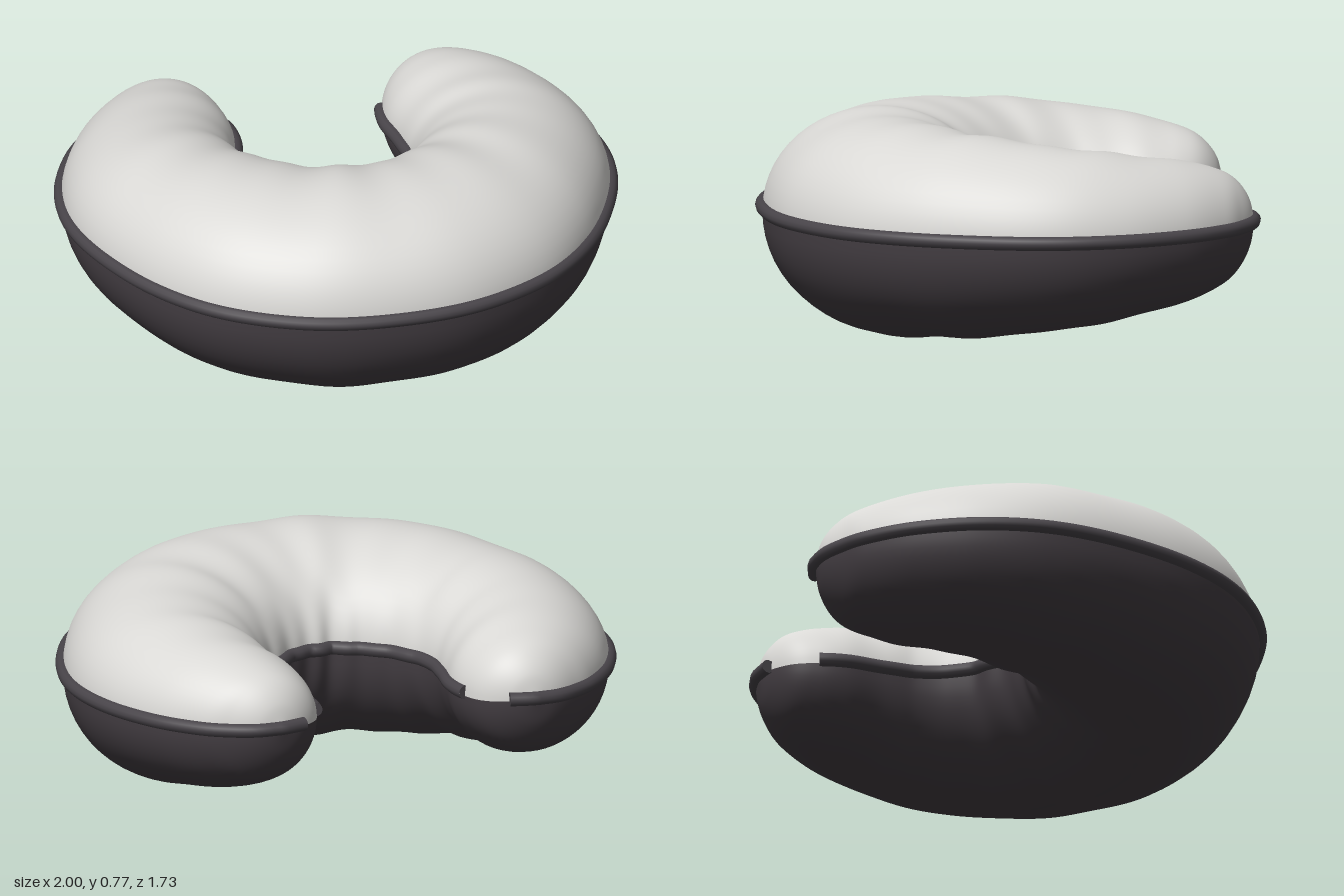
import * as THREE from 'three';

// Half of the U, from the front middle to the tip: outer x, z, inner x, z, half height
const HALF = [
  [0, 0.84, 0, 0.012, 0.38],
  [0.30, 0.80, 0.07, 0.005, 0.378],
  [0.585, 0.655, 0.145, -0.04, 0.371],
  [0.785, 0.435, 0.22, -0.105, 0.358],
  [0.92, 0.155, 0.275, -0.19, 0.339],
  [0.975, -0.10, 0.305, -0.30, 0.317],
  [0.95, -0.345, 0.295, -0.42, 0.29],
  [0.86, -0.565, 0.273, -0.56, 0.258],
  [0.745, -0.715, 0.285, -0.67, 0.22],
  [0.655, -0.785, 0.32, -0.75, 0.175],
  [0.57, -0.828, 0.39, -0.81, 0.10],
  [0.48, -0.842, 0.48, -0.842, 0],
];
const mirrored = HALF.slice(1).reverse().map(([a, b, c, d, h]) => [-a, b, -c, d, h]);
const SECTIONS = [...mirrored, ...HALF];
const curve = (pts) => new THREE.CatmullRomCurve3(pts, false, 'catmullrom', 0.5);
const outerCurve = curve(SECTIONS.map((s) => new THREE.Vector3(s[0], s[4], s[1])));
const innerCurve = curve(SECTIONS.map((s) => new THREE.Vector3(s[2], s[4], s[3])));

// Gathered folds along the inside of the bend, fading out to the tips
const fold = (t) => {
  const fade = Math.max(0, 1 - Math.pow(Math.abs(t - 0.5) / 0.38, 4));
  return fade * (0.6 * Math.sin(t * 110) + 0.4 * Math.sin(t * 67 + 1));
};

function innerPoint(t) {
  const p = innerCurve.getPoint(t);
  p.z += 0.008 * fold(t);
  return p;
}

// One padded half of the cushion: side 1 is the top, side -1 the underside
function shell(side) {
  const nt = 220, nj = 28, pos = [], index = [];
  for (let i = 0; i <= nt; i++) {
    const t = i / nt;
    const o = outerCurve.getPoint(t), n = innerPoint(t);
    const h = Math.max(0, o.y), k = h / 0.38;
    const seam = 0.40 + 0.03 * (1 - k);
    const height = side > 0 ? h * 0.95 : h * (0.95 + 0.1 * k);
    for (let j = 0; j <= nj; j++) {
      const a = (j / nj) * Math.PI;
      const u = (1 - Math.cos(a)) / 2;
      const crease = 1 + 0.045 * fold(t) * Math.pow(u, 1.8) + 0.006 * Math.sin(t * 70) * k;
      pos.push(
        o.x + (n.x - o.x) * u,
        Math.max(0, seam + side * height * Math.sin(a) * crease),
        o.z + (n.z - o.z) * u,
      );
      if (i < nt && j < nj) {
        const p = i * (nj + 1) + j, q = p + nj + 1;
        if (side > 0) index.push(p, q, p + 1, q, q + 1, p + 1);
        else index.push(p, p + 1, q, q, p + 1, q + 1);
      }
    }
  }
  const g = new THREE.BufferGeometry();
  g.setAttribute('position', new THREE.Float32BufferAttribute(pos, 3));
  g.setIndex(index);
  g.computeVertexNormals();
  return g;
}

// Round cord along the seam, with flat cut ends
function cord(name, points, material) {
  const group = new THREE.Group();
  group.name = name;
  const path = new THREE.CatmullRomCurve3(points);
  const R = 0.025;
  group.add(new THREE.Mesh(new THREE.TubeGeometry(path, 200, R, 12), material));
  for (const [t, dir] of [[0, -1], [1, 1]]) {
    const end = new THREE.Mesh(new THREE.CircleGeometry(R, 12), material);
    end.position.copy(path.getPoint(t));
    end.quaternion.setFromUnitVectors(
      new THREE.Vector3(0, 0, 1), path.getTangent(t).multiplyScalar(dir));
    group.add(end);
  }
  group.children.forEach((m) => { m.name = name; });
  return group;
}

export function createModel() {
  const lightFabric = new THREE.MeshStandardMaterial({ color: 0xd9d8d5, side: THREE.DoubleSide });
  lightFabric.name = 'light grey fabric';
  const darkFabric = new THREE.MeshStandardMaterial({ color: 0x443e43, side: THREE.DoubleSide });
  darkFabric.name = 'dark fabric';
  const cordFabric = new THREE.MeshStandardMaterial({ color: 0x484449 });
  cordFabric.name = 'dark piping';

  const model = new THREE.Group();
  model.name = 'neckPillow';

  const top = new THREE.Mesh(shell(1), lightFabric);
  top.name = 'topCushion';
  const bottom = new THREE.Mesh(shell(-1), darkFabric);
  bottom.name = 'bottomCushion';
  model.add(top, bottom);

  // The outer cord wraps round both tips and stops short of the inner one
  const level = (p) => p.setY(0.421 + 0.012 * (1 - Math.max(0, p.y) / 0.38));
  const outer = [], inner = [];
  for (let i = 0; i <= 66; i++) outer.push(level(outerCurve.getPoint(i / 66)));
  outer.unshift(new THREE.Vector3(-0.39, 0.433, -0.822));
  outer.push(new THREE.Vector3(0.39, 0.433, -0.822));
  for (let i = 0; i <= 80; i++) inner.push(level(innerPoint(0.14 + (0.72 * i) / 80)));
  model.add(cord('outerPiping', outer, cordFabric), cord('innerPiping', inner, cordFabric));
  return model;
}
